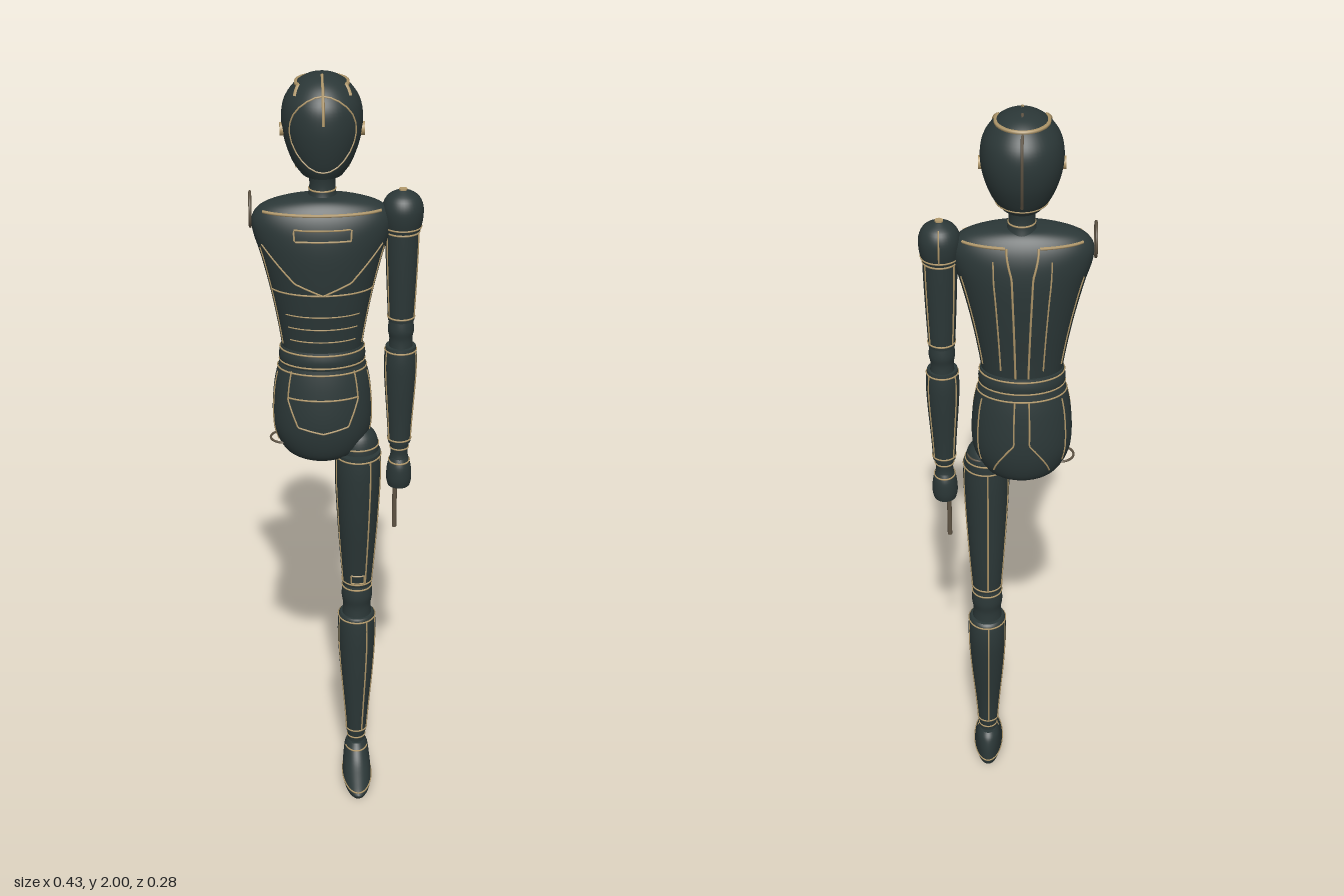
import * as THREE from 'three';

const mat = (name, color) => Object.assign(new THREE.MeshStandardMaterial({ color }), { name });

export function createModel() {
  const model = new THREE.Group();
  model.name = 'mannequin';
  const shell = mat('dark shell', 0x2b3737);
  const gold = mat('gold seam', 0xb39a6c);
  const bronze = mat('dull bronze', 0x5e5343);

  const add = (geometry, material, name, parent, x = 0, y = 0, z = 0) => {
    const mesh = new THREE.Mesh(geometry, material);
    mesh.name = name;
    mesh.position.set(x, y, z);
    parent.add(mesh);
    return mesh;
  };

  // Smooths a profile of rows [y, centreX, centreZ, radiusX, radiusZ], rising in y
  const smooth = (rows, n) => {
    const out = [];
    for (let i = 0; i < rows.length - 1; i++) {
      const [p, a, b, q] = [rows[Math.max(i - 1, 0)], rows[i], rows[i + 1], rows[Math.min(i + 2, rows.length - 1)]];
      for (let k = 0; k < n; k++) {
        const t = k / n;
        out.push(a.map((v, c) => v + 0.5 * t * (b[c] - p[c] + t * (2 * p[c] - 5 * v + 4 * b[c] - q[c]
          + t * (3 * (v - b[c]) + q[c] - p[c])))));
      }
    }
    out.push(rows[rows.length - 1]);
    return out;
  };

  // Closed elliptical loft; returns a part that can carry surface seams
  const loft = (name, profile, n = 4, sides = 36) => {
    const rows = smooth(profile, n);
    const group = new THREE.Group();
    group.name = name;
    model.add(group);
    const pos = [], idx = [];
    const ring = ([y, cx, cz, rx, rz]) => {
      for (let j = 0; j < sides; j++) {
        const a = (j / sides) * Math.PI * 2;
        pos.push(cx + rx * Math.cos(a), y, cz + rz * Math.sin(a));
      }
    };
    rows.forEach(ring);
    for (let i = 0; i < rows.length - 1; i++) {
      for (let j = 0; j < sides; j++) {
        const k = (j + 1) % sides, a = i * sides, d = a + sides;
        idx.push(a + j, d + j, d + k, a + j, d + k, a + k);
      }
    }
    for (const [row, top] of [[rows[0], false], [rows[rows.length - 1], true]]) {
      const s = pos.length / 3;
      ring(row);
      pos.push(row[1], row[0], row[2]);
      for (let j = 0; j < sides; j++) {
        const k = (j + 1) % sides;
        idx.push(s + sides, s + (top ? k : j), s + (top ? j : k));
      }
    }
    const g = new THREE.BufferGeometry();
    g.setAttribute('position', new THREE.Float32BufferAttribute(pos, 3));
    g.setIndex(idx);
    g.computeVertexNormals();
    add(g, shell, name + 'Shell', group);

    // Surface point: 0 degrees is +x, 90 is the front
    const at = (deg, y) => {
      let i = 0;
      while (i < rows.length - 2 && rows[i + 1][0] < y) i++;
      const t = THREE.MathUtils.clamp((y - rows[i][0]) / (rows[i + 1][0] - rows[i][0]), 0, 1);
      const [, cx, cz, rx, rz] = rows[i].map((v, c) => v + (rows[i + 1][c] - v) * t);
      const a = THREE.MathUtils.degToRad(deg);
      return new THREE.Vector3(cx + rx * Math.cos(a), y, cz + rz * Math.sin(a));
    };
    const seam = (path, r = 0.0024, material = gold) => {
      const pts = [];
      for (let i = 0; i < path.length - 1; i++) {
        const [a, b] = [path[i], path[i + 1]];
        const steps = Math.max(6, Math.ceil(Math.abs(b[0] - a[0]) / 10));
        for (let k = i ? 1 : 0; k <= steps; k++) {
          const t = k / steps;
          pts.push(at(a[0] + (b[0] - a[0]) * t, a[1] + (b[1] - a[1]) * t));
        }
      }
      add(new THREE.TubeGeometry(new THREE.CatmullRomCurve3(pts), pts.length * 2, r, 5), material, 'seam', group);
    };
    const hoop = (y, r) => seam([[0, y], [360, y]], r);
    const line = (deg, y0, y1, r) => seam([[deg, y0], [deg, y1]], r);
    const frame = (a0, a1, y0, y1) => seam([[a0, y0], [a1, y0], [a1, y1], [a0, y1], [a0, y0]]);
    return { group, at, seam, hoop, line, frame };
  };

  // Builds rows that share one axis
  const axis = (cx, cz, list) => list.map(([y, rx, rz = rx, dz = 0]) => [y, cx, cz + dz, rx, rz]);
  const C = -0.036;

  // Head with face plate, crown arc, crest and ears
  const head = loft('head', axis(C, -0.03, [[1.76, 0.052, 0.068, 0.01], [1.79, 0.073, 0.085, 0.007],
    [1.84, 0.091, 0.102, 0.002], [1.89, 0.098, 0.108], [1.935, 0.091, 0.101], [1.97, 0.068, 0.076],
    [1.99, 0.04, 0.046], [1.998, 0.008, 0.01]]), 5, 48);
  head.seam(Array.from({ length: 25 }, (_, i) => {
    const t = (i / 24) * Math.PI * 2;
    return [90 + 54 * Math.cos(t), 1.872 + 0.092 * Math.sin(t)];
  }));
  head.seam([[145, 1.955], [155, 1.976], [385, 1.976], [395, 1.955]], 0.005);
  head.line(90, 1.9, 1.997, 0.004);
  head.seam([[270, 1.79], [270, 1.997]], 0.004, bronze);
  head.seam([[165, 1.775], [375, 1.775]]);
  for (const deg of [0, 180]) {
    const p = head.at(deg, 1.865);
    const ear = add(new THREE.CylinderGeometry(0.016, 0.016, 0.012, 20), gold, 'ear', head.group, p.x, p.y, -0.02);
    ear.rotation.z = Math.PI / 2;
  }

  // Neck
  const neck = loft('neck', axis(C, -0.025, [[1.68, 0.042], [1.71, 0.033], [1.74, 0.032], [1.78, 0.04]]));
  neck.hoop(1.715);
  neck.hoop(1.75);

  // Torso with chest plates, collar slot and spine lines
  const torso = loft('torso', axis(C - 0.002, -0.015, [[1.3, 0.1, 0.066], [1.36, 0.109, 0.072], [1.45, 0.126, 0.082],
    [1.55, 0.15, 0.089], [1.61, 0.168, 0.086], [1.65, 0.17, 0.076], [1.68, 0.145, 0.06],
    [1.697, 0.09, 0.042], [1.702, 0.03, 0.02]]), 5, 56);
  torso.frame(66, 114, 1.61, 1.637);
  torso.seam([[25, 1.59], [60, 1.5], [90, 1.47], [120, 1.5], [155, 1.59]]);
  torso.seam([[15, 1.47], [165, 1.47]]);
  torso.seam([[25, 1.67], [155, 1.67]], 0.004);
  torso.seam([[205, 1.67], [255, 1.67]], 0.004);
  torso.seam([[285, 1.67], [335, 1.67]], 0.004);
  for (const y of [1.34, 1.375, 1.41]) torso.seam([[40, y], [140, y]], 0.0018);
  for (const s of [-1, 1]) {
    torso.line(90 + s * 72, 1.32, 1.58);
    torso.seam([[270 + s * 9, 1.31], [270 + s * 9, 1.6], [270 + s * 14, 1.67]], 0.003);
    torso.seam([[270 + s * 30, 1.33], [270 + s * 24, 1.64]]);
    torso.line(270 + s * 68, 1.33, 1.58);
  }

  // Waist belt
  const waist = loft('waist', axis(C - 0.002, -0.017, [[1.262, 0.106, 0.074], [1.285, 0.109, 0.077], [1.31, 0.104, 0.071]]), 3);
  waist.hoop(1.27);
  waist.hoop(1.303);

  // Pelvis with panel lines
  const pelvis = loft('pelvis', axis(C - 0.002, -0.02, [[0.988, 0.015], [0.998, 0.06, 0.05], [1.02, 0.096, 0.076],
    [1.07, 0.121, 0.09], [1.13, 0.127, 0.092], [1.21, 0.121, 0.084], [1.268, 0.107, 0.073]]), 5, 48);
  pelvis.seam([[45, 1.255], [45, 1.18], [60, 1.11], [90, 1.095], [120, 1.11], [135, 1.18], [135, 1.255]]);
  pelvis.seam([[45, 1.185], [135, 1.185]]);
  pelvis.hoop(1.25);
  for (const s of [-1, 1]) {
    pelvis.seam([[270 + s * 9, 1.25], [270 + s * 9, 1.13], [270 + s * 40, 1.04]]);
    pelvis.line(270 + s * 60, 1.06, 1.24);
    pelvis.line(90 + s * 78, 1.05, 1.24);
  }

  // Joint rings left bare on the right shoulder and both hips
  add(new THREE.TorusGeometry(0.042, 0.0035, 8, 32), bronze, 'shoulderRing', model, -0.212, 1.665, -0.02).rotation.y = Math.PI / 2;
  for (const s of [-1, 1]) {
    add(new THREE.TorusGeometry(0.035, 0.003, 8, 32), bronze, 'hipRing', model, C + s * 0.1, 1.045, -0.02).rotation.x = Math.PI / 2;
  }

  // Left arm
  const AX = 0.16, AZ = -0.018;
  const shoulder = loft('shoulder', axis(AX, AZ, [[1.61, 0.044], [1.64, 0.05], [1.67, 0.05], [1.695, 0.038], [1.71, 0.012]]));
  shoulder.hoop(1.618);
  shoulder.line(270, 1.62, 1.7);
  add(new THREE.CylinderGeometry(0.01, 0.01, 0.006, 20), gold, 'shoulderPin', shoulder.group, AX, 1.711, AZ);
  const upperArm = loft('upperArm', axis(AX, AZ, [[1.37, 0.033], [1.45, 0.037], [1.55, 0.041], [1.615, 0.042]]));
  loft('elbow', axis(AX, AZ, [[1.29, 0.031], [1.32, 0.029], [1.345, 0.033], [1.375, 0.029]]));
  const forearm = loft('forearm', axis(AX, AZ + 0.002, [[1.03, 0.029], [1.1, 0.033], [1.2, 0.04], [1.26, 0.042], [1.3, 0.038]]));
  const wrist = loft('wrist', axis(AX, AZ + 0.004, [[0.975, 0.027], [1.0, 0.022], [1.035, 0.026]]));
  const hand = loft('hand', axis(AX, -0.012, [[0.908, 0.029, 0.032], [0.93, 0.033, 0.037], [0.965, 0.03, 0.036], [0.988, 0.022, 0.026]]));
  hand.hoop(0.978);
  wrist.hoop(1.015);
  for (const [part, y0, y1] of [[upperArm, 1.38, 1.605], [forearm, 1.04, 1.29]]) {
    part.hoop(y0);
    part.hoop(y1);
    for (const deg of [25, 155, 215, 325]) part.line(deg, y0, y1);
  }
  add(new THREE.CylinderGeometry(0.006, 0.006, 0.14, 12), bronze, 'fingerRod', model, 0.15, 0.85, -0.01);

  // Left leg
  const LX = 0.053;
  const hip = loft('hipJoint', axis(LX, -0.01, [[0.99, 0.055], [1.03, 0.053], [1.06, 0.043], [1.08, 0.02]]));
  hip.hoop(1.03);
  const thigh = loft('thigh', axis(LX, 0, [[0.61, 0.039, 0.04, -0.016], [0.7, 0.046, 0.05, -0.012],
    [0.82, 0.054, 0.06, -0.004], [0.95, 0.06, 0.066], [1.015, 0.058, 0.064]]));
  const knee = loft('knee', axis(LX, -0.018, [[0.5, 0.041], [0.54, 0.037], [0.57, 0.041], [0.6, 0.039], [0.62, 0.034]]));
  knee.hoop(0.6);
  const shin = loft('shin', axis(LX, -0.013, [[0.13, 0.027, 0.027], [0.22, 0.034, 0.036], [0.34, 0.045, 0.05, -0.005],
    [0.44, 0.051, 0.058, -0.009], [0.5, 0.05, 0.055, -0.008], [0.515, 0.044, 0.048, -0.006]]));
  for (const [part, y0, y1] of [[thigh, 0.62, 1.005], [shin, 0.14, 0.505]]) {
    part.hoop(y0);
    part.hoop(y1);
    for (const deg of [20, 60, 160, 200, 265, 340]) part.line(deg, y0, y1);
  }
  thigh.frame(65, 115, 0.625, 0.65);

  // Ankle and tapered foot
  const ankle = loft('ankle', axis(LX, -0.013, [[0.08, 0.026], [0.105, 0.023], [0.135, 0.026]]));
  ankle.hoop(0.115);
  const foot = loft('foot', axis(LX, 0, [[0, 0.035, 0.102, 0.034], [0.014, 0.039, 0.106, 0.034],
    [0.035, 0.038, 0.088, 0.017], [0.06, 0.035, 0.064, -0.004], [0.085, 0.031, 0.046, -0.014], [0.1, 0.024, 0.033, -0.014]]));
  foot.hoop(0.018);
  foot.seam([[20, 0.085], [160, 0.085]]);
  return model;
}
